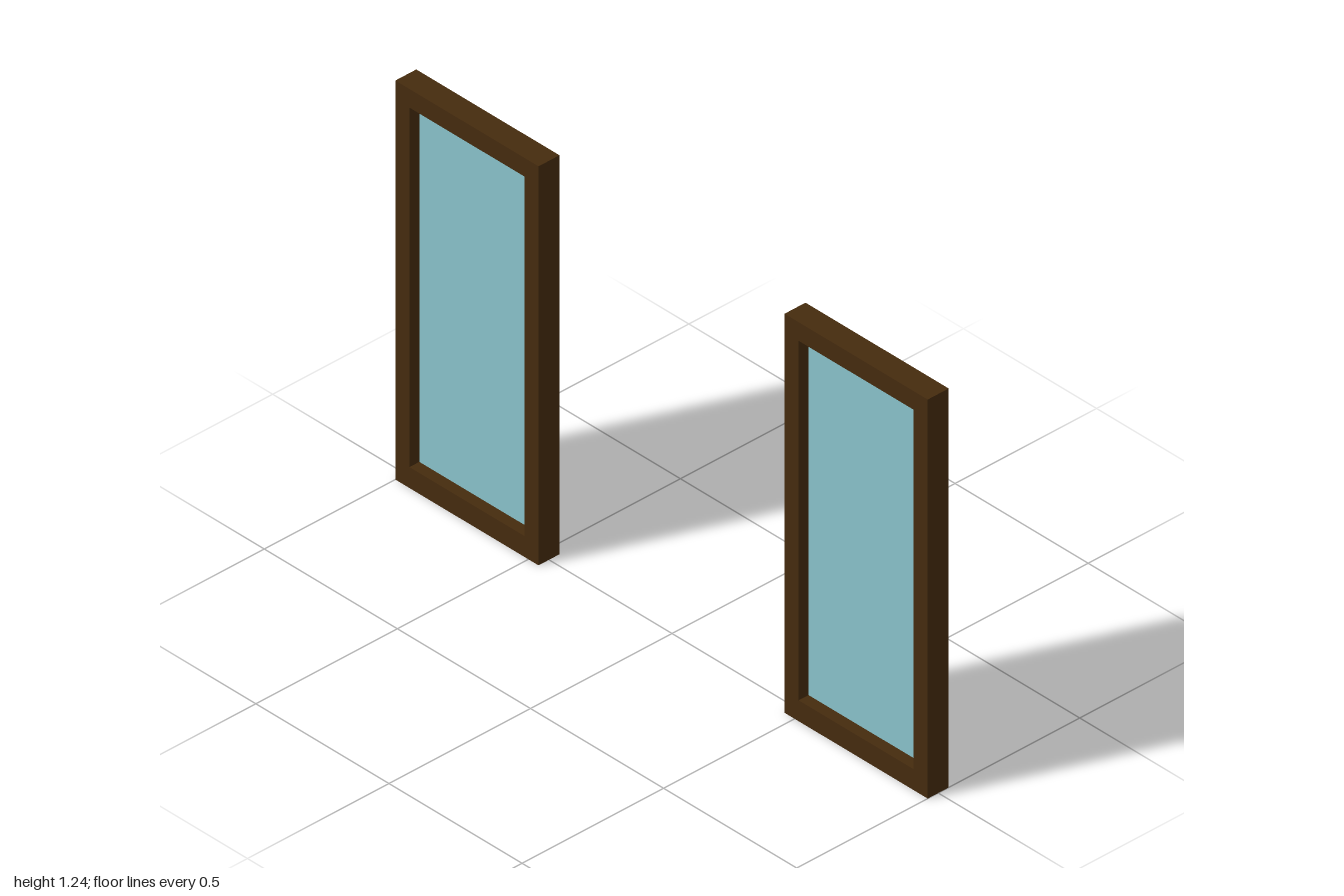
import * as THREE from 'three';

const HEIGHT = 1.243, WIDTH = 0.538, DEPTH = 0.074;
const STILE = 0.053, SILL = 0.065, HEAD = 0.058;

const wood = new THREE.MeshStandardMaterial({ color: 0x452b0e });
wood.name = 'dark wood';
const glass = new THREE.MeshStandardMaterial({ color: 0x89c2cb });
glass.name = 'pale blue glass';

// Rectangle outline from its corner positions
function rectangle(Type, x0, y0, x1, y1) {
  return new Type([[x0, y0], [x1, y0], [x1, y1], [x0, y1]].map(([x, y]) => new THREE.Vector2(x, y)));
}

function createWindow(name) {
  const group = new THREE.Group();
  group.name = name;
  const half = WIDTH / 2, inner = half - STILE, top = HEIGHT - HEAD;

  // Frame: a slab with a rectangular opening, turned to face sideways
  const shape = rectangle(THREE.Shape, -half, 0, half, HEIGHT);
  shape.holes.push(rectangle(THREE.Path, -inner, SILL, inner, top));
  const frameGeometry = new THREE.ExtrudeGeometry(shape, { depth: DEPTH, bevelEnabled: false });
  frameGeometry.translate(0, 0, -DEPTH / 2).rotateY(-Math.PI / 2);
  const frame = new THREE.Mesh(frameGeometry, wood);
  frame.name = 'windowFrame';

  // Pane set in the middle of the frame's depth
  const pane = new THREE.Mesh(new THREE.BoxGeometry(0.004, top - SILL, inner * 2), glass);
  pane.position.y = (top + SILL) / 2;
  pane.name = 'glassPane';

  group.add(frame, pane);
  return group;
}

export function createModel() {
  const model = new THREE.Group();
  model.name = 'windowPair';
  for (const [name, side] of [['frontWindow', 1], ['backWindow', -1]]) {
    const part = createWindow(name);
    part.position.z = side * (1 - WIDTH / 2);
    model.add(part);
  }
  return model;
}
